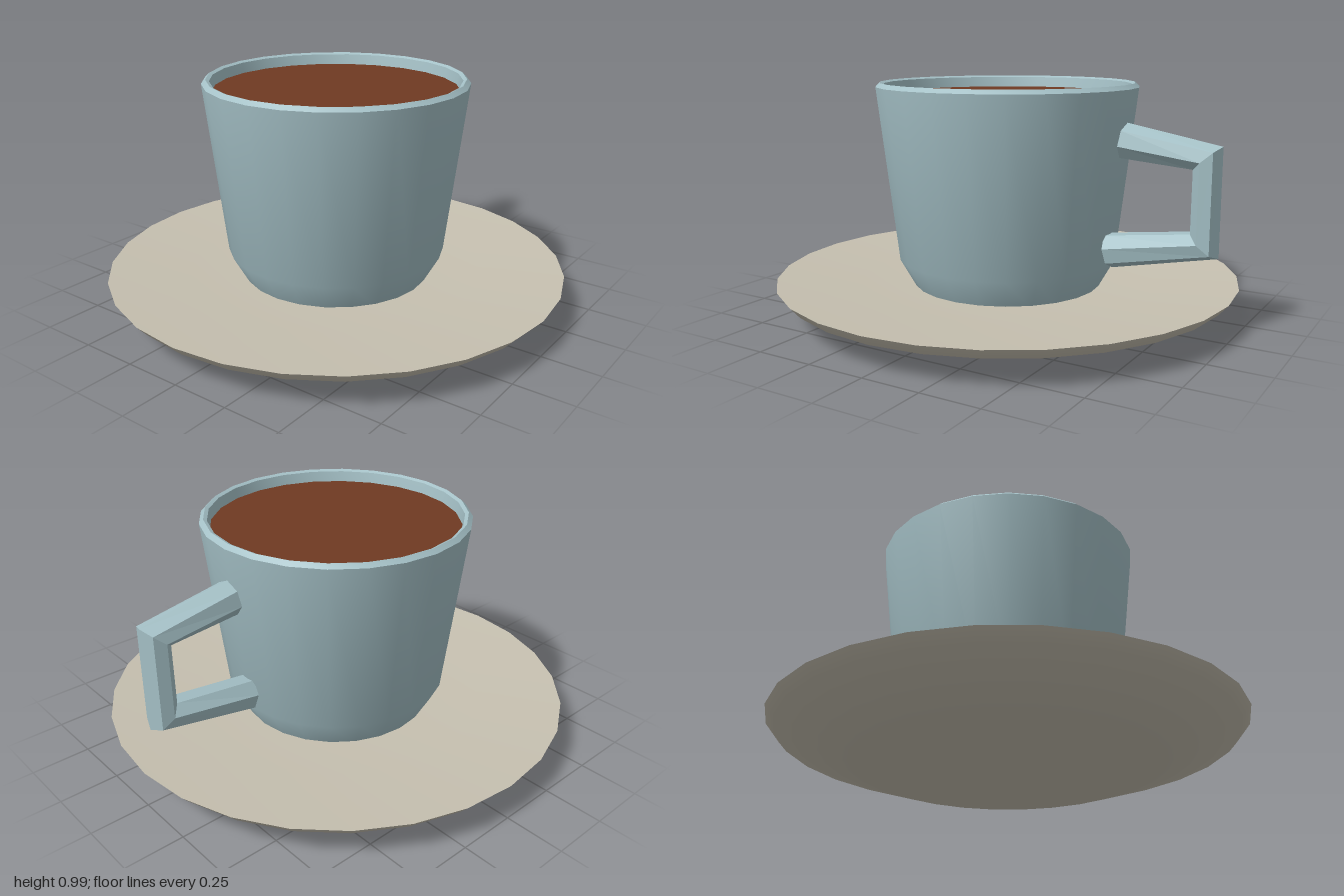
import * as THREE from 'three';
import { toCreasedNormals } from 'three/addons/utils/BufferGeometryUtils.js';

const material = (name, color) => {
  const m = new THREE.MeshStandardMaterial({ color });
  m.name = name;
  return m;
};

// Turned part: smooth around, sharp at the rims
function turned(name, profile, sides, mat) {
  const points = profile.map(([r, y]) => new THREE.Vector2(r, y));
  const mesh = new THREE.Mesh(toCreasedNormals(new THREE.LatheGeometry(points, sides), 0.6), mat);
  mesh.name = name;
  return mesh;
}

// Seven-sided bar bent along a path in the xy plane, one ring per path point
function bentBar(path, radius, sides) {
  const points = path.map(([x, y]) => new THREE.Vector2(x, y));
  const last = points.length - 1;
  const dirs = points.slice(1).map((p, i) => p.clone().sub(points[i]).normalize());
  const normals = points.map((_, i) => {
    const t = dirs[Math.max(i - 1, 0)].clone().add(dirs[Math.min(i, last - 1)]).normalize();
    return new THREE.Vector2(-t.y, t.x);
  });
  const geometry = new THREE.CylinderGeometry(1, 1, 1, sides, last);
  const pos = geometry.attributes.position;
  for (let i = 0; i < pos.count; i++) {
    const ring = Math.round((0.5 - pos.getY(i)) * last);
    const p = points[ring], n = normals[ring];
    const out = pos.getZ(i) * radius, side = -pos.getX(i) * radius;
    pos.setXYZ(i, p.x + n.x * out, p.y + n.y * out, side);
  }
  const flat = geometry.toNonIndexed();
  flat.computeVertexNormals();
  return flat;
}

export function createModel() {
  const group = new THREE.Group();
  group.name = 'cupAndSaucer';
  const blue = material('paleBlueCeramic', 0xa5c1c7);
  const beige = material('beigeCeramic', 0xc6c0b0);
  const brown = material('coffeeBrown', 0x6f3a22);

  // Shallow dished saucer
  group.add(turned('saucer', [
    [0, 0], [0.64, 0], [0.96, 0.11], [1, 0.155], [0.64, 0.128], [0.4, 0.118], [0, 0.115],
  ], 28, beige));

  // Tapered cup with a bevelled rim and an inner wall
  group.add(turned('cup', [
    [0, 0.105], [0.402, 0.105], [0.475, 0.235], [0.563, 0.975], [0.545, 0.992],
    [0.53, 0.985], [0.515, 0.9], [0.43, 0.25], [0, 0.2],
  ], 24, blue));

  // Coffee surface
  const coffee = new THREE.Mesh(new THREE.CircleGeometry(0.522, 24), brown);
  coffee.name = 'coffee';
  coffee.rotation.x = -Math.PI / 2;
  coffee.position.y = 0.94;
  group.add(coffee);

  // Angular handle
  const handle = new THREE.Mesh(bentBar(
    [[0.549, 0.771], [0.896, 0.725], [0.895, 0.384], [0.491, 0.314]], 0.074, 7), blue);
  handle.name = 'handle';
  group.add(handle);

  return group;
}
